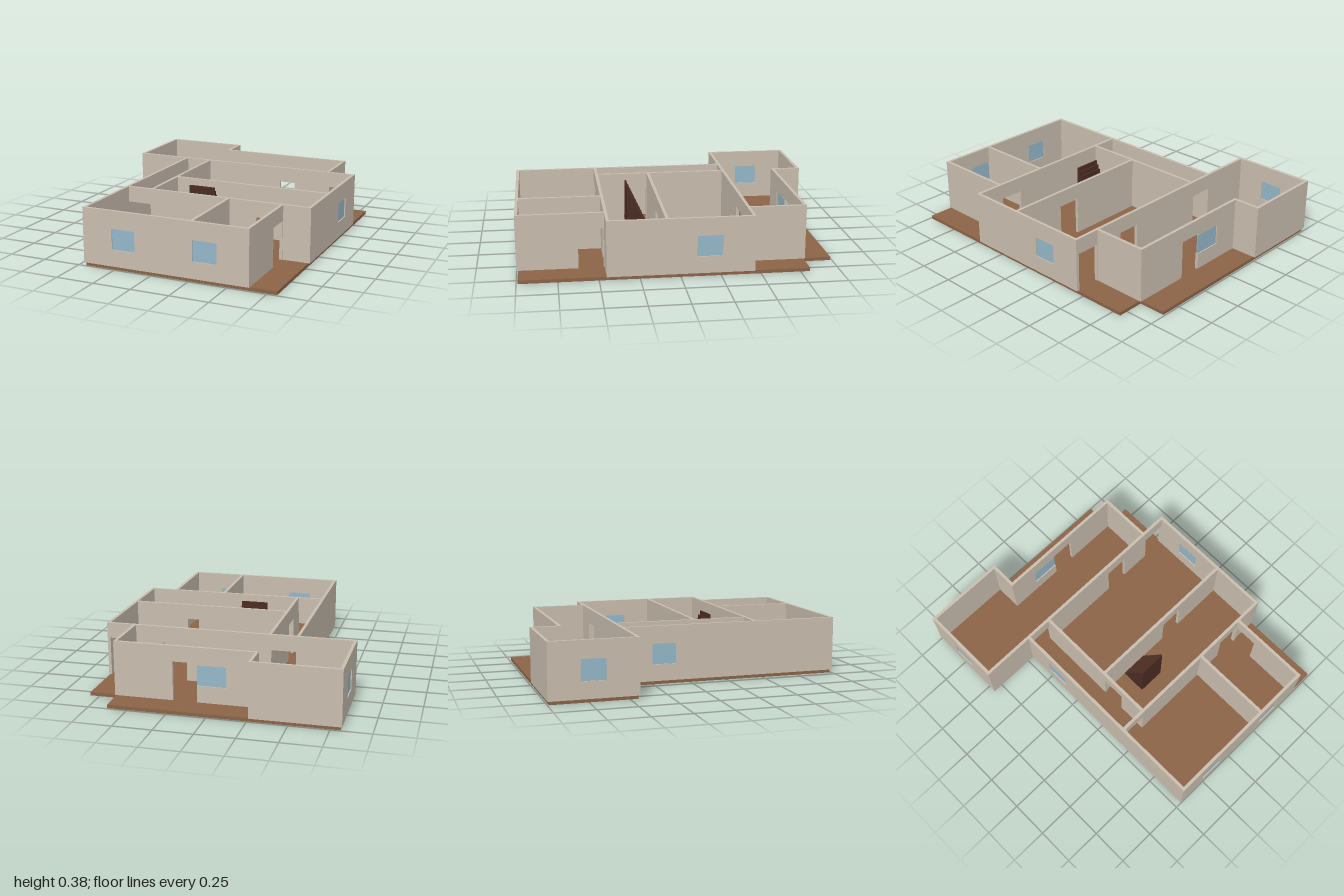
import * as THREE from 'three';

const FLOOR_Y = 0.022, TOP = 0.377, THICK = 0.02;
const DOOR_TOP = 0.275, SILL = 0.13, HEAD = 0.263;

const material = (name, color) => {
  const m = new THREE.MeshStandardMaterial({ color });
  m.name = name;
  return m;
};
const door = (a, b) => ({ a, b, bottom: FLOOR_Y, top: DOOR_TOP, glazed: false });
const win = (a, b) => ({ a, b, bottom: SILL, top: HEAD, glazed: true });

export function createModel() {
  const model = new THREE.Group();
  model.name = 'house';
  const plaster = material('plaster', 0xc8bdae);
  const wood = material('floor wood', 0x8b6347);
  const glass = material('window glass', 0x94b7c8);
  const darkWood = material('stair wood', 0x4a2c22);

  // Floor slab, stepped in plan
  const plan = new THREE.Shape([
    [-0.81, -0.99], [0.63, -0.99], [0.63, -0.81], [0.81, -0.81],
    [0.81, 0.99], [-0.45, 0.99], [-0.45, -0.45], [-0.81, -0.45],
  ].map(([x, z]) => new THREE.Vector2(x, -z)));
  const slab = new THREE.ExtrudeGeometry(plan, { depth: FLOOR_Y, bevelEnabled: false });
  slab.rotateX(-Math.PI / 2);
  const floor = new THREE.Mesh(slab, wood);
  floor.name = 'floor';
  model.add(floor);

  // A wall runs along x or z at a fixed offset, split around its openings
  function addWall(name, axis, offset, start, end, openings = []) {
    const wall = new THREE.Group();
    wall.name = name;
    const piece = (part, a, b, y0, y1, depth, mat) => {
      if (b - a < 1e-4 || y1 - y0 < 1e-4) return;
      const alongX = axis === 'x';
      const geo = new THREE.BoxGeometry(alongX ? b - a : depth, y1 - y0, alongX ? depth : b - a);
      const mesh = new THREE.Mesh(geo, mat);
      const mid = (a + b) / 2;
      mesh.position.set(alongX ? mid : offset, (y0 + y1) / 2, alongX ? offset : mid);
      mesh.name = part;
      wall.add(mesh);
    };
    let at = start;
    for (const o of openings) {
      piece('wallPanel', at, o.a, FLOOR_Y, TOP, THICK, plaster);
      piece('lintel', o.a, o.b, o.top, TOP, THICK, plaster);
      piece('sill', o.a, o.b, FLOOR_Y, o.bottom, THICK, plaster);
      if (o.glazed) piece('windowPane', o.a, o.b, o.bottom, o.top, 0.006, glass);
      at = o.b;
    }
    piece('wallPanel', at, end, FLOOR_Y, TOP, THICK, plaster);
    model.add(wall);
  }

  // Walls running along x, back to front
  addWall('backRoomBackWall', 'x', -0.99, -0.82, -0.26);
  addWall('backWall', 'x', -0.81, -0.28, 0.64, [win(-0.08, 0.105), door(0.105, 0.26)]);
  addWall('backCrossWall', 'x', -0.45, -0.82, 0.82,
    [door(-0.44, -0.28), door(0.28, 0.435), door(0.645, 0.8)]);
  addWall('middleCrossWall', 'x', 0.085, -0.27, 0.81, [door(0.28, 0.435)]);
  addWall('frontCrossWall', 'x', 0.445, -0.46, 0.82, [door(-0.44, -0.28), door(0.462, 0.62)]);
  addWall('frontWall', 'x', 0.99, -0.46, 0.64, [win(-0.26, -0.105), win(0.28, 0.435)]);

  // Walls running along z, right to left
  addWall('backRoomRightWall', 'z', -0.81, -1, -0.44, [win(-0.8, -0.645)]);
  addWall('rightWall', 'z', -0.45, -0.46, 1, [win(-0.257, -0.1)]);
  addWall('backStepWall', 'z', -0.27, -1, -0.8);
  addWall('corridorWall', 'z', -0.27, -0.45, 0.445, [door(0.1, 0.257)]);
  addWall('frontRoomDivider', 'z', 0.27, 0.445, 0.99);
  addWall('backPorchWall', 'z', 0.63, -0.82, -0.44);
  addWall('frontPorchWall', 'z', 0.63, 0.445, 1, [door(0.46, 0.617)]);
  addWall('leftWall', 'z', 0.81, -0.46, 0.455, [win(-0.257, -0.1)]);

  // Staircase climbing towards the front
  const stairs = new THREE.Group();
  stairs.name = 'staircase';
  const STEPS = 13, run = 0.165 / STEPS, rise = (TOP - FLOOR_Y) / STEPS;
  for (let i = 0; i < STEPS; i++) {
    const h = rise * (i + 1);
    const step = new THREE.Mesh(new THREE.BoxGeometry(0.18, h, run), darkWood);
    step.position.set(0, FLOOR_Y + h / 2, 0.1 + run * (i + 0.5));
    step.name = 'step';
    stairs.add(step);
  }
  model.add(stairs);
  return model;
}
